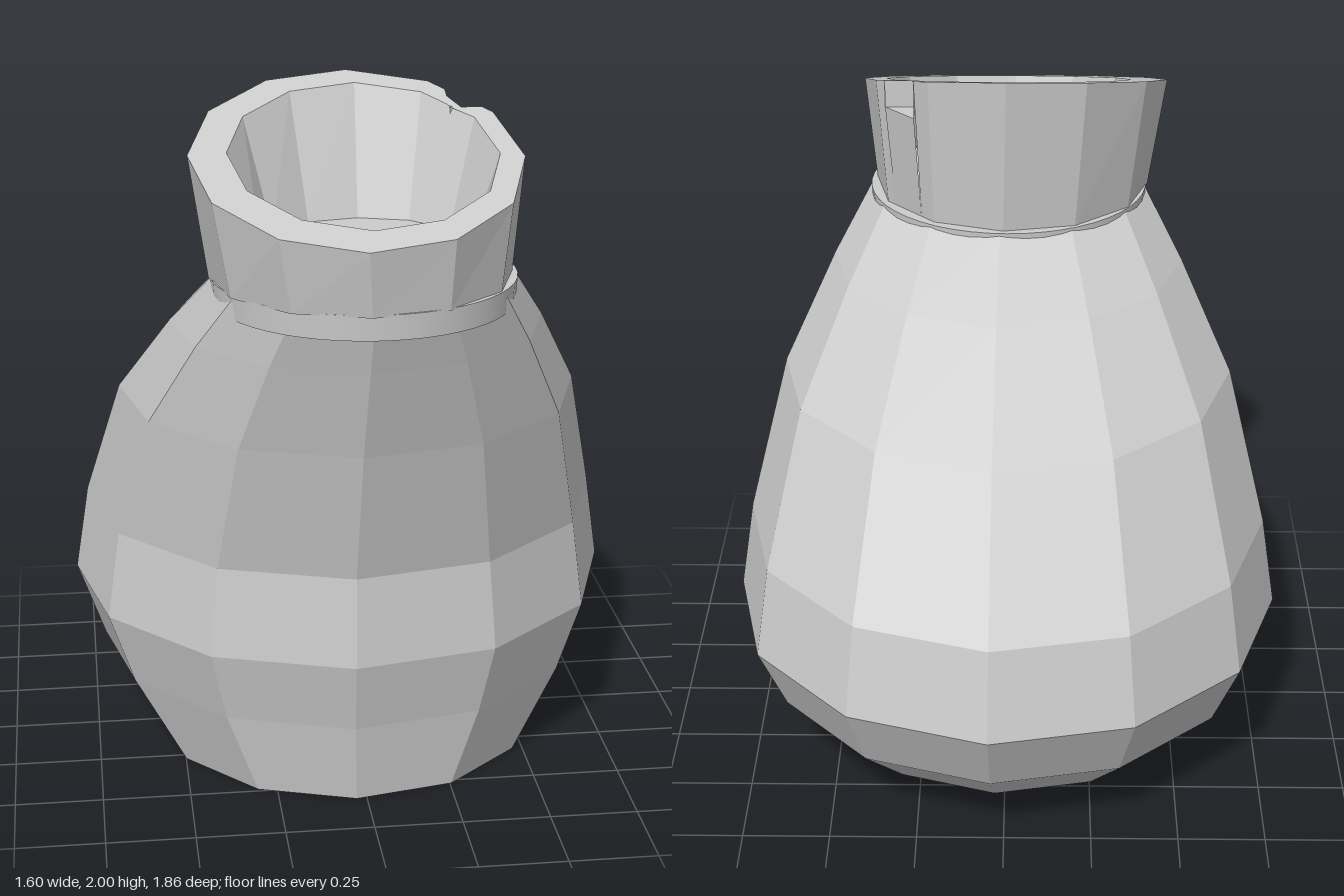
import * as THREE from 'three';

const SIDES = 12, PHASE = THREE.MathUtils.degToRad(3);
const V = (x, y, z) => new THREE.Vector3(x, y, z);
const rimY = (z) => 2.01 - 0.3226 * z; // slanted plane of the mouth

// Twelve-sided horizontal ring; y may be a number or a function of z
function ring(y, r, cx, cz) {
  return Array.from({ length: SIDES }, (_, i) => {
    const a = PHASE + (i / SIDES) * Math.PI * 2;
    const z = cz - r * Math.cos(a);
    return V(cx + r * Math.sin(a), typeof y === 'function' ? y(z) : y, z);
  });
}

// Skin neighbouring rings with quads
function loft(rings) {
  const polys = [];
  for (let k = 0; k + 1 < rings.length; k++) {
    const lo = rings[k], up = rings[k + 1], n = lo.length;
    for (let i = 0; i < n; i++) {
      const j = (i + 1) % n;
      polys.push([lo[j], lo[i], up[i], up[j]]);
    }
  }
  return polys;
}

// Flat-shaded geometry from convex polygons
function facets(polys) {
  const pts = [];
  for (const p of polys) {
    for (let i = 1; i + 1 < p.length; i++) pts.push(p[0], p[i], p[i + 1]);
  }
  const g = new THREE.BufferGeometry().setFromPoints(pts);
  g.computeVertexNormals();
  return g;
}

export function createModel() {
  const group = new THREE.Group();
  const clay = new THREE.MeshStandardMaterial({ color: 0xcccccc, side: THREE.DoubleSide });
  clay.name = 'light grey clay';
  const add = (name, geometry) => {
    const mesh = new THREE.Mesh(geometry, clay);
    mesh.name = name;
    group.add(mesh);
    return mesh;
  };

  // Body: rings leaning forward towards the neck [y, radius, centre z]
  const bodyRings = [
    [0, 0.56, 0.02], [0.24, 0.72, -0.1], [0.45, 0.8, -0.13], [0.71, 0.76, -0.11],
    [1.1, 0.66, 0.09], [1.36, 0.52, 0.31], [1.53, 0.41, 0.475],
  ].map(([y, r, cz]) => ring(y, r, 0, cz));
  add('body', facets([
    ...loft(bodyRings), bodyRings[0], [...bodyRings[6]].reverse(),
  ]));

  // Neck outer wall, with a notch cut in the side between corners 1 and 2
  const top = ring(rimY, 0.45, -0.02, 0.48);
  const base = ring(1.53, 0.41, -0.01, 0.487);
  const onEdge = (pts, t) => pts[1].clone().lerp(pts[2], t);
  const [tA, tB] = [0.27, 0.83];
  const A = onEdge(top, tA), B = onEdge(top, tB);
  const C = V(A.x, rimY(B.z), B.z);
  const drop = (p) => V(p.x, 1.85, p.z);
  const [A0, B0, C0] = [A, B, C].map(drop);
  const split = (pts, a, b) => [pts[0], pts[1], a, b, ...pts.slice(2)];
  const wall = loft([
    split(base, onEdge(base, tA), onEdge(base, tB)), split(top, A, B),
  ]);
  wall[2] = [onEdge(base, tB), onEdge(base, tA), A0, B0];
  add('neck', facets(wall));
  add('notch', facets([[A0, C0, B0], [C0, A0, A, C], [B0, C0, C, B]]));

  // Flat lip around the mouth, following the notch
  const innerTop = ring(rimY, 0.365, 0, 0.467);
  const outline = [top[0], top[1], A, C, B, ...top.slice(2)];
  const flat = (pts) => pts.map((p) => new THREE.Vector2(p.x, p.z));
  const lipPts = [...outline, ...innerTop];
  const lip = THREE.ShapeUtils.triangulateShape(flat(outline), [flat(innerTop)]).map((tri) => {
    const [a, b, c] = tri.map((i) => lipPts[i]);
    const up = b.clone().sub(a).cross(c.clone().sub(a)).y > 0;
    return up ? [a, b, c] : [a, c, b];
  });
  add('lip', facets(lip));

  // Tapered inside of the mouth and its floor
  const floor = ring(1.62, 0.28, 0, 0.503);
  add('mouthInside', facets([...loft([innerTop, floor]), [...floor].reverse()]));

  // Smooth round collar peeping out under the neck
  const collar = add('collar', new THREE.CylinderGeometry(0.415, 0.41, 0.07, 48));
  collar.position.set(0, 1.5, 0.473);

  return group;
}
